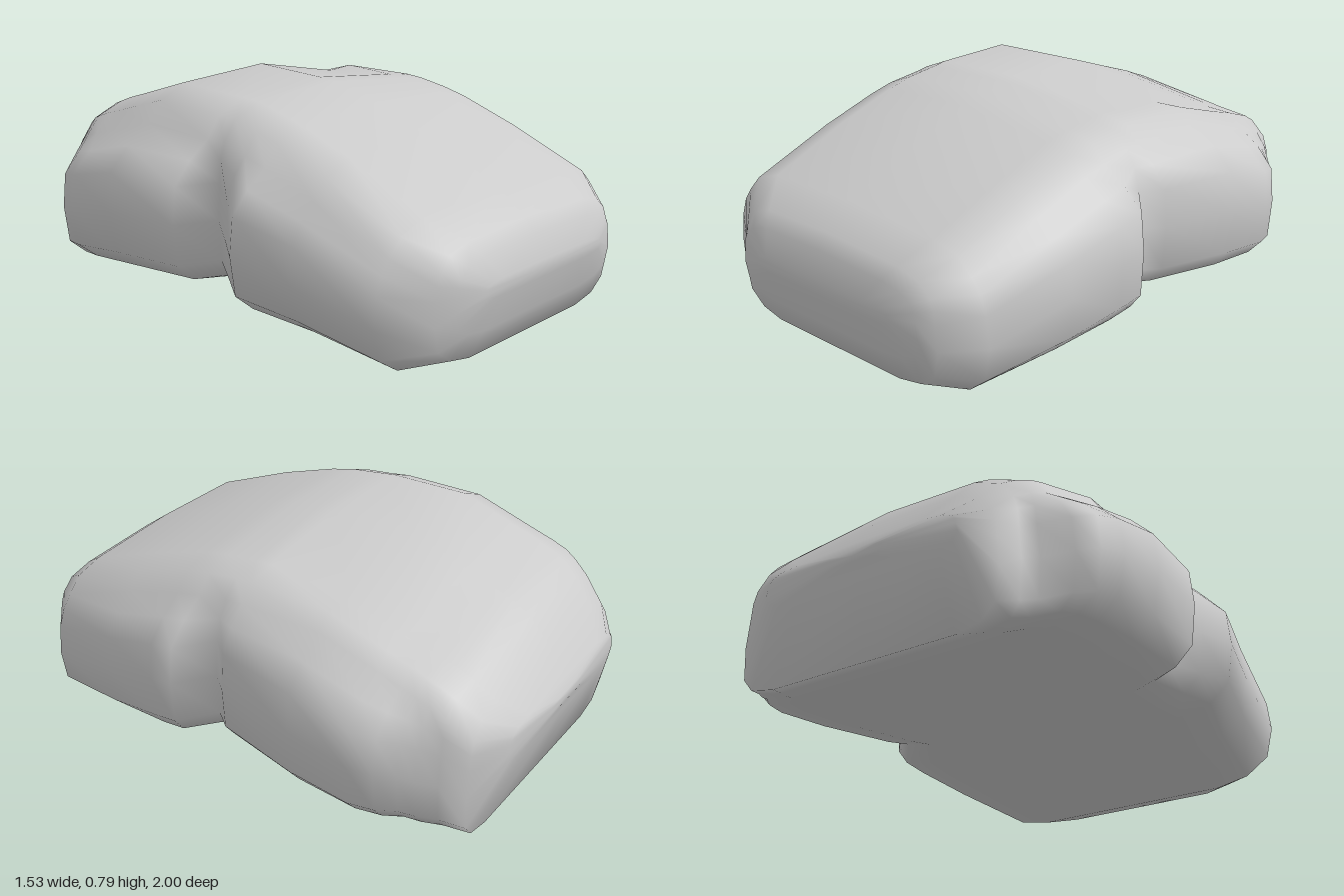
import * as THREE from 'three';

// Stations front to back:
// z, bottom y, top y, half widths at -x and +x, top drop at +x, squareness of lower edge at -x and +x
const STATIONS = [
  [1.0, 0.25, 0.31, 0.30, 0.38, 0.05, 0.3, 0.3],
  [0.97, 0.13, 0.40, 0.42, 0.48, 0.05, 0.3, 0.4],
  [0.93, 0.03, 0.45, 0.47, 0.53, 0.04, 0.3, 0.5],
  [0.82, 0.003, 0.53, 0.64, 0.65, 0.04, 0.3, 0.6],
  [0.5, 0.055, 0.66, 0.69, 0.72, 0.06, 0.4, 0.8],
  [0.27, 0.093, 0.735, 0.74, 0.74, 0.06, 0.6, 1],
  [0.17, 0.11, 0.76, 0.67, 0.75, 0.07, 0.7, 1],
  [0.05, 0.13, 0.78, 0.59, 0.64, 0.08, 0.8, 1], // side notches
  [-0.02, 0.127, 0.785, 0.74, 0.70, 0.08, 0.7, 0.9],
  [-0.34, 0.10, 0.79, 0.77, 0.76, 0.13, 0.6, 0.9],
  [-0.57, 0.08, 0.71, 0.77, 0.76, 0.12, 0.6, 0.9],
  [-0.66, 0.073, 0.68, 0.74, 0.73, 0.11, 0.7, 0.9],
  [-0.72, 0.065, 0.655, 0.68, 0.68, 0.10, 0.9, 0.9],
  [-0.77, 0.048, 0.637, 0.58, 0.65, 0.09, 1, 0.9],
  [-0.83, 0.03, 0.60, 0.55, 0.60, 0.08, 1, 0.9],
  [-0.91, 0.005, 0.51, 0.52, 0.55, 0.05, 0.7, 0.9],
  [-0.98, 0.27, 0.41, 0.41, 0.40, 0.05, 0.4, 0.6],
  [-1.0, 0.33, 0.37, 0.12, 0.12, 0.05, 0.3, 0.3],
];

// One side of a section, from bottom to top: flat belly, bulging lobe, narrower shoulder
function halfSection(yb, yt, w, drop, square) {
  const core = Math.min(0.94 * w, 0.57);
  return [
    [(0.55 + 0.2 * square) * w, 0],
    [(0.76 + 0.17 * square) * w, 0.05 - 0.01 * square],
    [(0.94 + 0.05 * square) * w, 0.18 - 0.05 * square],
    [w, 0.38],
    [0.98 * w, 0.59],
    [(core + w) / 2, 0.71],
    [core, 0.8],
    [0.9 * core, 0.92 - drop / 3],
    [0.7 * core, 1 - drop],
  ].map(([x, t]) => [x, yb + t * (yt - yb)]);
}

// Closed loft through the stations
function createBodyGeometry() {
  const positions = [];
  const index = [];
  let n = 0;
  for (const [z, yb, yt, wl, wr, drop, squareL, squareR] of STATIONS) {
    const plus = halfSection(yb, yt, wr, drop, squareR);
    const minus = halfSection(yb, yt, wl, 0.015, squareL).reverse().map(([x, y]) => [-x, y]);
    const ring = [[0, yb], ...plus, [0, yt], ...minus];
    n = ring.length;
    for (const [x, y] of ring) positions.push(x, y, z);
  }
  const last = STATIONS.length - 1;
  for (let i = 0; i < last; i++) {
    for (let j = 0; j < n; j++) {
      const a = i * n + j, b = i * n + ((j + 1) % n);
      index.push(a, a + n, b, b, a + n, b + n);
    }
  }
  // End caps
  const front = positions.length / 3;
  positions.push(0.03, 0.28, 1.0, 0, 0.35, -1.0);
  for (let j = 0; j < n; j++) {
    const k = (j + 1) % n;
    index.push(front, j, k, front + 1, last * n + k, last * n + j);
  }
  const geometry = new THREE.BufferGeometry();
  geometry.setAttribute('position', new THREE.Float32BufferAttribute(positions, 3));
  geometry.setIndex(index);
  geometry.computeVertexNormals();
  return geometry;
}

export function createModel() {
  const group = new THREE.Group();
  const material = new THREE.MeshStandardMaterial({ color: 0xcccccc });
  const body = new THREE.Mesh(createBodyGeometry(), material);
  body.name = 'body';
  group.add(body);
  return group;
}
